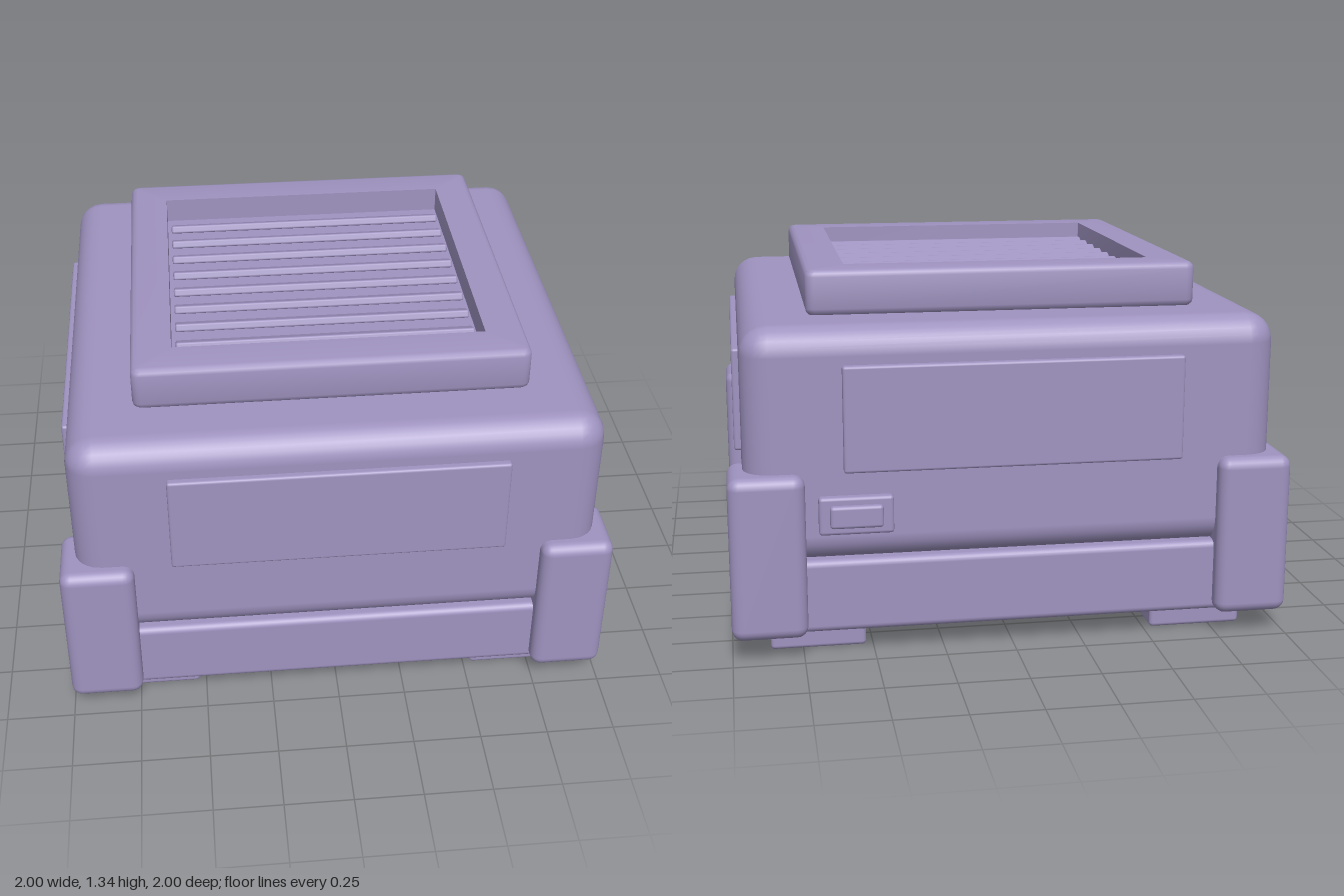
import * as THREE from 'three';
import { toCreasedNormals } from 'three/addons/utils/BufferGeometryUtils.js';
import { RoundedBoxGeometry } from 'three/addons/geometries/RoundedBoxGeometry.js';

// Lofts a skin through rounded-square sections given as [half size, corner radius, height]
function loftSquares(sections, cornerSteps = 4) {
  const pos = [], index = [];
  const count = 4 * (cornerSteps + 1);
  for (const [half, r, y] of sections) {
    for (let c = 0; c < 4; c++) {
      const mid = Math.PI / 4 + c * Math.PI / 2;
      const cx = Math.sign(Math.cos(mid)) * (half - r), cz = Math.sign(Math.sin(mid)) * (half - r);
      for (let s = 0; s <= cornerSteps; s++) {
        const a = (c + s / cornerSteps) * Math.PI / 2;
        pos.push(cx + r * Math.cos(a), y, cz + r * Math.sin(a));
      }
    }
  }
  for (let j = 0; j < sections.length - 1; j++) {
    for (let i = 0; i < count; i++) {
      const a = j * count + i, b = j * count + (i + 1) % count;
      index.push(a, a + count, b, b, a + count, b + count);
    }
  }
  const geo = new THREE.BufferGeometry();
  geo.setAttribute('position', new THREE.Float32BufferAttribute(pos, 3));
  geo.setIndex(index);
  return toCreasedNormals(geo, 0.7);
}

export function createModel() {
  const model = new THREE.Group();
  const casing = new THREE.MeshStandardMaterial({ color: 0x9f93c0 });
  casing.name = 'lavender casing';

  const add = (name, geometry, x = 0, y = 0, z = 0, parent = model) => {
    const mesh = new THREE.Mesh(geometry, casing);
    mesh.name = name;
    mesh.position.set(x, y, z);
    parent.add(mesh);
    return mesh;
  };
  const box = (w, h, d, r, seg = 3) => new RoundedBoxGeometry(w, h, d, seg, r);

  // Main housing on a plinth; its rounded underside forms the groove
  add('body', box(1.89, 0.835, 1.89, 0.1), 0, 0.7575, 0);
  add('base', box(1.88, 0.265, 1.88, 0.025), 0, 0.2175, 0);

  // Corner guards and feet
  const guard = box(0.265, 0.585, 0.265, 0.04);
  const foot = box(0.34, 0.095, 0.34, 0.015);
  for (const sx of [-1, 1]) {
    for (const sz of [-1, 1]) {
      add('cornerGuard', guard, sx * 0.8675, 0.3775, sz * 0.8675);
      add('foot', foot, sx * 0.695, 0.0475, sz * 0.695);
    }
  }

  // Raised panel on each of the four sides
  const panel = box(1.2, 0.375, 0.08, 0.01, 2);
  for (let i = 0; i < 4; i++) {
    const a = i * Math.PI / 2;
    add('sidePanel', panel, Math.sin(a) * 0.93, 0.8575, Math.cos(a) * 0.93).rotation.y = a;
  }

  // Vent frame: outer wall with soft edges, sharp opening
  const vent = new THREE.Group();
  vent.name = 'topVent';
  model.add(vent);
  const out = 0.705, low = 1.172, high = 1.335, bevel = 0.025;
  const wall = [];
  for (let i = 0; i <= 3; i++) {
    const a = i * Math.PI / 6, inset = bevel * (1 - Math.sin(a));
    wall.push([out - inset, 0.03 - inset * 0.6, low + bevel * (1 - Math.cos(a))]);
  }
  const mirrored = wall.map(([h, r, y]) => [h, r, low + high - y]).reverse();
  const section = [...wall, ...mirrored, [0.56, 0.001, high], [0.56, 0.001, 1.2]];
  add('ventFrame', loftSquares(section), 0, 0, 0, vent);
  add('ventFloor', new THREE.BoxGeometry(1.13, 0.07, 1.13), 0, 1.205, 0, vent);

  // Slanted louvre slats, front edge raised
  const slat = box(1.09, 0.03, 0.066, 0.008, 2);
  for (let i = 0; i < 8; i++) {
    add('slat', slat, 0, 1.262, -0.443 + i * 0.1257, vent).rotation.x = -0.42;
  }

  // Power inlet low on the back
  add('inletPlate', box(0.26, 0.135, 0.06, 0.012, 2), 0.56, 0.52, -0.945);
  add('inletSocket', box(0.185, 0.08, 0.05, 0.012, 2), 0.56, 0.52, -0.97);

  return model;
}
